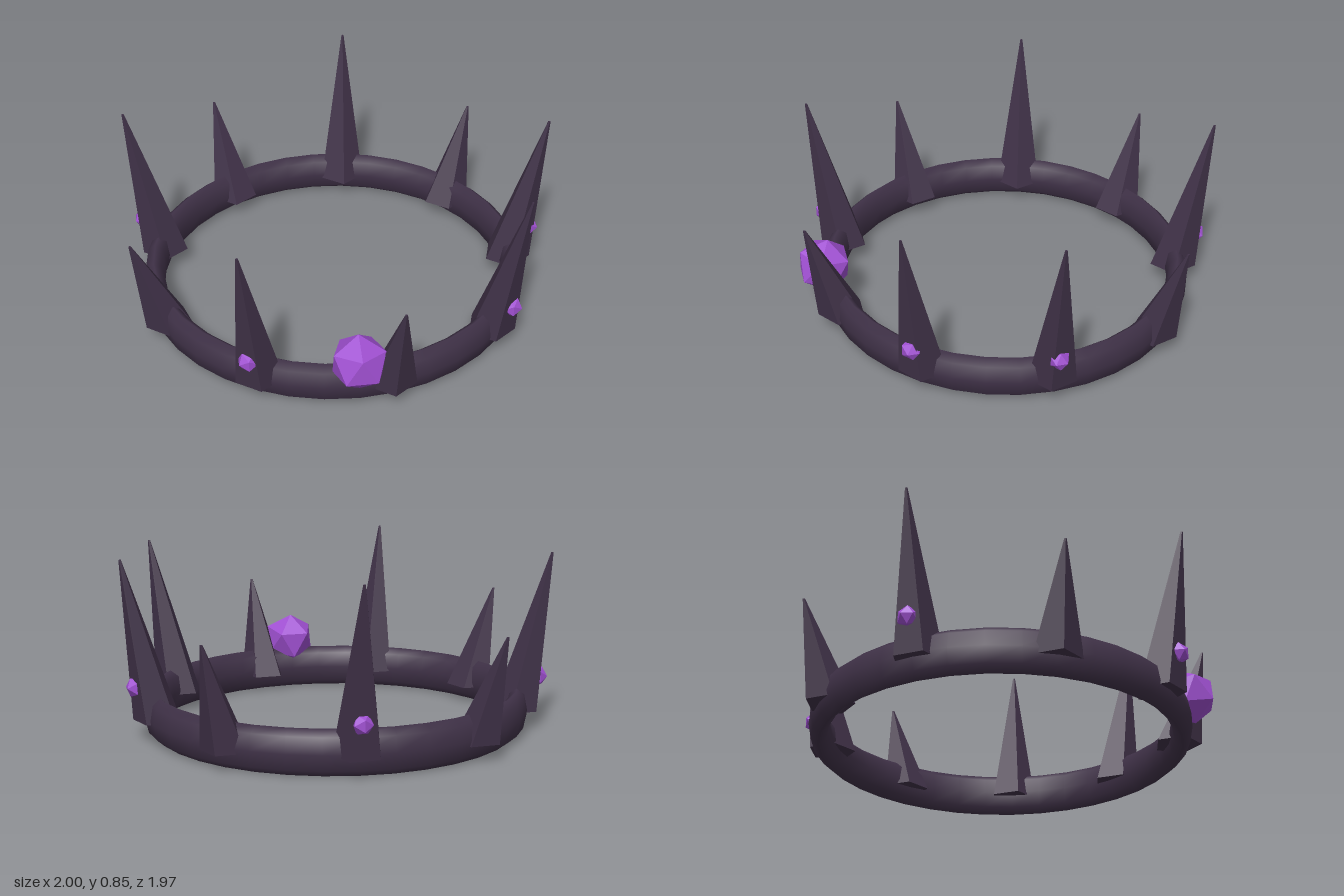
import * as THREE from 'three';

export function createModel() {
  const crown = new THREE.Group();
  crown.name = 'crown';
  const darkMetal = new THREE.MeshStandardMaterial({ name: 'dark metal', color: 0x3f3147, flatShading: true });
  const bandMetal = darkMetal.clone();
  bandMetal.name = 'dark band metal';
  bandMetal.flatShading = false;
  const amethyst = new THREE.MeshStandardMaterial({ name: 'amethyst', color: 0xa050d2, flatShading: true });
  const cx = -0.03, cz = -0.015; // centre of the band

  function add(name, geometry, material, x = 0, y = 0, z = 0) {
    const mesh = new THREE.Mesh(geometry, material);
    mesh.name = name;
    mesh.position.set(x, y, z);
    crown.add(mesh);
    return mesh;
  }

  // Point on the slightly oval plan of the crown
  const onOval = (angle, rx, rz) => [cx + Math.cos(angle) * rx, cz + Math.sin(angle) * rz];

  // Band: a ring stretched upwards
  const band = new THREE.TorusGeometry(0.86, 0.05, 8, 36);
  band.rotateX(Math.PI / 2);
  band.scale(1.02, 2.1, 0.98);
  add('band', band, bandMetal, cx, 0.105, cz);

  // Five-sided spike whose tip is pushed outwards
  function spikeGeometry(height, leanX, leanZ) {
    const g = new THREE.CylinderGeometry(0.006, 0.115, height, 5);
    g.translate(0, height / 2, 0);
    const p = g.attributes.position;
    for (let i = 0; i < p.count; i++) {
      const t = p.getY(i) / height;
      p.setX(i, p.getX(i) + leanX * t);
      p.setZ(i, p.getZ(i) + leanZ * t);
    }
    g.computeVertexNormals();
    return g;
  }

  // Nine spikes, alternately tall and short; the tall ones carry a small gem
  for (let k = 0; k < 9; k++) {
    const angle = -k * Math.PI * 2 / 9;
    const tall = k % 2 === 0;
    const base = tall ? 0.09 : 0.08;
    const [x, z] = onOval(angle, 0.87, 0.84);
    const [tx, tz] = onOval(angle, 1.025, 0.99);
    add(tall ? 'tallSpike' : 'shortSpike',
      spikeGeometry((tall ? 0.85 : 0.57) - base, tx - x, tz - z), darkMetal, x, base, z);
    if (tall) {
      const [gx, gz] = onOval(angle, 0.968, 0.938);
      add('smallGem', new THREE.IcosahedronGeometry(0.05, 0), amethyst, gx, 0.253, gz);
    }
  }

  // Large front gem, one facet facing forwards
  const gem = new THREE.IcosahedronGeometry(0.135, 0);
  gem.rotateX(Math.atan2(4.236, 1.618));
  gem.rotateZ(Math.PI);
  add('frontGem', gem, amethyst, -0.036, 0.253, 0.867);

  return crown;
}
